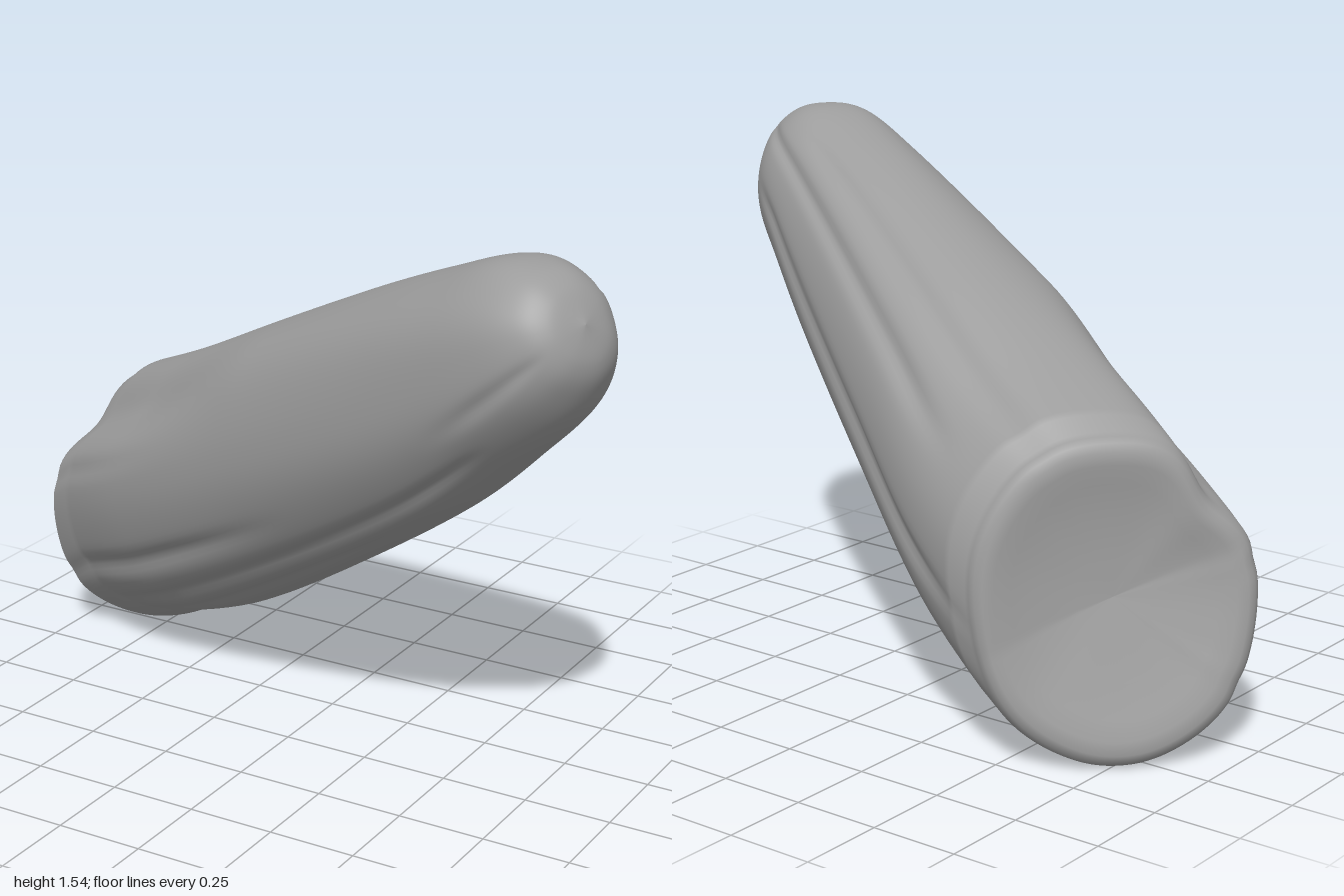
import * as THREE from 'three';

const AROUND = 140, ALONG = 100;

// Stations along the log: centre x, y, z, half width, half height, turn of the section (0 = as cut, 1 = square to the axis)
const STATIONS = [
  [-0.725, 0.44, -0.28, 0.39, 0.44, 0],
  [-0.4, 0.59, -0.13, 0.4, 0.43, 0.2],
  [0, 0.82, 0.035, 0.35, 0.385, 0.6],
  [0.4, 1.06, 0.2, 0.295, 0.33, 0.9],
  [0.65, 1.225, 0.3, 0.255, 0.275, 1],
  [0.8, 1.325, 0.355, 0.22, 0.235, 1],
  [0.89, 1.38, 0.395, 0.165, 0.175, 1],
  [0.94, 1.405, 0.415, 0.1, 0.105, 1],
  [0.96, 1.415, 0.425, 0, 0, 1],
];

// Lengthwise grooves: angle in degrees, depth, width in degrees, start and end along the log, drift in degrees
const GROOVES = [
  [36, 0.05, 5, 0.06, 0.85, -6],
  [62, 0.03, 6, -0.05, 0.6, -12],
  [-8, 0.04, 4, -0.02, 0.65, 10],
  [-45, 0.02, 8, 0.05, 0.6, 5],
  [138, 0.15, 20, -0.15, 0.27, 0],
  [170, 0.02, 4, -0.1, 0.2, 0],
  [212, 0.05, 5, -0.05, 0.3, 10],
  [218, 0.045, 6, 0.45, 0.85, -20],
  [238, 0.05, 5, 0.0, 0.55, -8],
  [256, 0.035, 4, 0.0, 0.4, -6],
];

// Rings over the dished cut end: scale and inset
const CUT_END = [[0, 0.04], [0.25, 0.038], [0.5, 0.03], [0.7, 0.014], [0.82, 0.002], [0.9, 0], [0.95, 0.01], [0.98, 0.028], [0.995, 0.05]];

const CUT_U = new THREE.Vector3(0.69, 0, -0.73), CUT_V = new THREE.Vector3(0.08, 1, 0.07);
const TIP_U = new THREE.Vector3(0.37, 0, -0.93), TIP_V = new THREE.Vector3(-0.38, 0.88, -0.13);
const INWARD = new THREE.Vector3(0.73, 0, 0.69);

const curveOf = (k) => new THREE.CatmullRomCurve3(
  STATIONS.map((s) => new THREE.Vector3(s[k], s[k + 1], s[k + 2])), false, 'catmullrom');
const spine = curveOf(0), girth = curveOf(3);

// Relative radius with grooves and gentle unevenness
function radius(angle, t) {
  const deg = THREE.MathUtils.radToDeg(angle);
  let r = 1 + 0.008 * Math.sin(3 * angle + 5 * t) + 0.006 * Math.sin(7 * angle - 9 * t);
  for (const [at, depth, width, from, to, drift] of GROOVES) {
    const d = THREE.MathUtils.euclideanModulo(deg - at - drift * t + 180, 360) - 180;
    const fade = THREE.MathUtils.smoothstep(t, from, from + 0.15) * (1 - THREE.MathUtils.smoothstep(t, to - 0.15, to));
    r -= depth * fade * Math.exp(-((d / width) ** 2));
  }
  return r;
}

function addRing(positions, t, scale, inset) {
  const c = spine.getPoint(t), g = girth.getPoint(t);
  const u = CUT_U.clone().lerp(TIP_U, g.z), v = CUT_V.clone().lerp(TIP_V, g.z);
  // Slightly squared oval
  const soft = (n) => Math.sign(n) * Math.abs(n) ** 0.93;
  // The lower half of the cut end swells outward
  const swell = 0.05 * Math.max(0, 1 - t / 0.12);
  for (let j = 0; j < AROUND; j++) {
    const a = (j / AROUND) * Math.PI * 2, r = radius(a, t) * scale;
    const low = scale * Math.max(0, -Math.sin(a + 0.3));
    const p = c.clone()
      .addScaledVector(INWARD, inset - swell * low * (1.6 - scale))
      .addScaledVector(u, soft(Math.cos(a)) * Math.max(g.x, 0) * r)
      .addScaledVector(v, soft(Math.sin(a)) * Math.max(g.y, 0) * r);
    positions.push(p.x, p.y, p.z);
  }
}

function buildLog() {
  const positions = [], index = [];
  for (const [scale, inset] of CUT_END) addRing(positions, 0, scale, inset);
  for (let i = 0; i <= ALONG; i++) addRing(positions, 0.035 + 0.965 * (i / ALONG), 1, 0);
  const rings = CUT_END.length + ALONG + 1;
  for (let i = 0; i < rings - 1; i++) {
    for (let j = 0; j < AROUND; j++) {
      const k = (j + 1) % AROUND;
      const a = i * AROUND + j, b = i * AROUND + k, c = a + AROUND, d = b + AROUND;
      index.push(a, b, c, b, d, c);
    }
  }
  const geometry = new THREE.BufferGeometry();
  geometry.setAttribute('position', new THREE.Float32BufferAttribute(positions, 3));
  geometry.setIndex(index);

  // Centre it and stand it on the ground
  geometry.computeBoundingBox();
  const box = geometry.boundingBox, mid = box.getCenter(new THREE.Vector3());
  geometry.translate(-mid.x, -box.min.y, -mid.z);
  geometry.computeVertexNormals();
  return geometry;
}

export function createModel() {
  const group = new THREE.Group();
  group.name = 'taperedLog';
  const log = new THREE.Mesh(buildLog(), new THREE.MeshStandardMaterial({ color: 0x9c9c9c }));
  log.name = 'log';
  group.add(log);
  return group;
}
